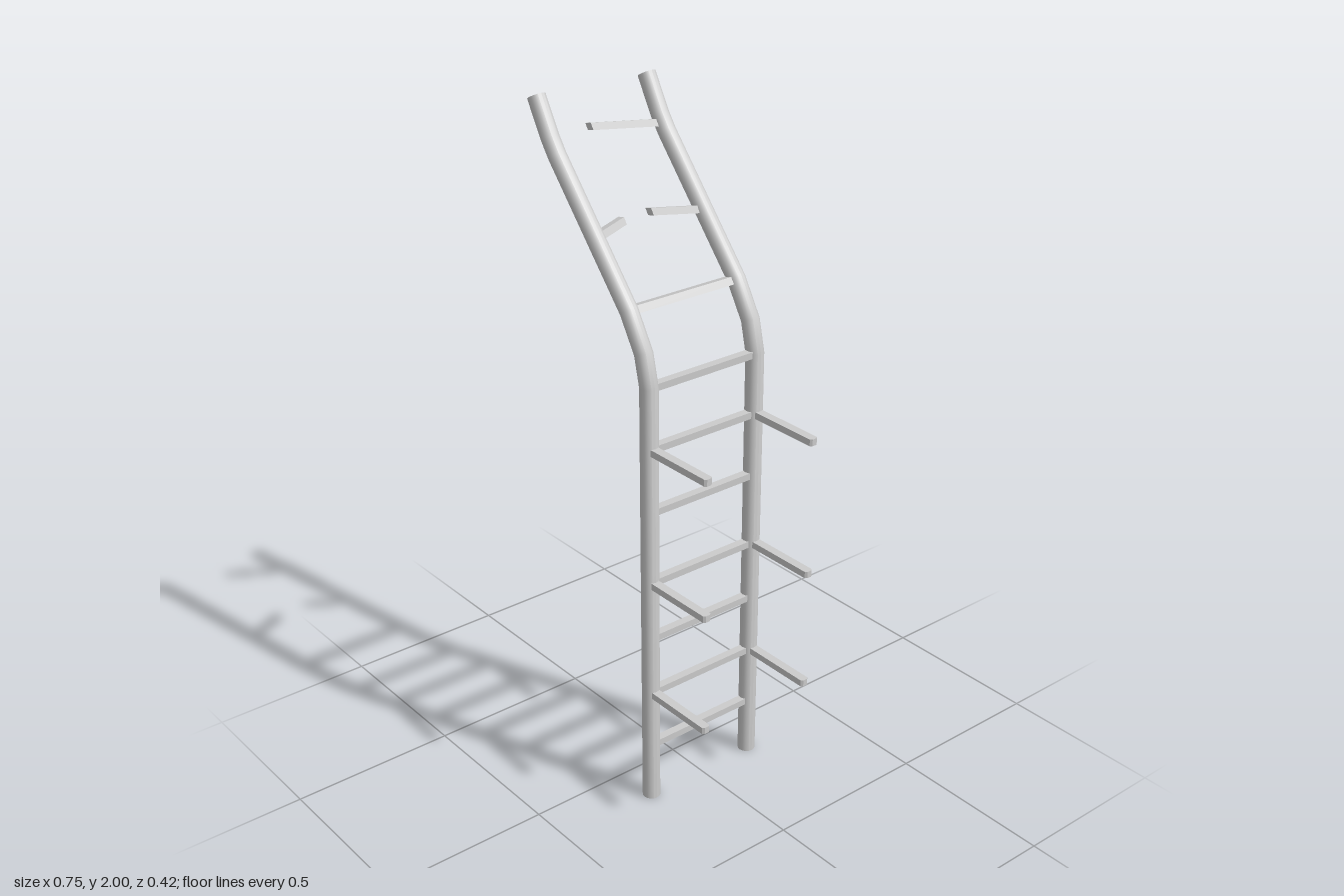
import * as THREE from 'three';
import { toCreasedNormals } from 'three/addons/utils/BufferGeometryUtils.js';

const material = new THREE.MeshStandardMaterial({ color: 0xcccccc });
const RAIL_Z = 0.185, RAIL_R = 0.026, INNER_Z = 0.165;

// Centre line of a rail, from the foot to the bent top
const RAIL_PATH = [
  [0.128, 0], [0.128, 1.31], [0.107, 1.4], [0.047, 1.5],
  [-0.253, 1.845], [-0.283, 1.887], [-0.34, 1.987],
].map(([x, y]) => new THREE.Vector2(x, y));

// Cross-sections (x, y) of the rungs: level, and tilted where the rails lean
const LEVEL = [[-0.0125, -0.01], [0.0125, -0.01], [0.0125, 0.01], [-0.0125, 0.01]];
const TILTED = [[-0.0065, -0.012], [0.0185, -0.006], [0.0065, 0.012], [-0.0185, 0.006]];

const toShape = (points) => new THREE.Shape(points.map(([x, y]) => new THREE.Vector2(x, y)));

// A capped cylinder whose rings are laid across the path
function railGeometry() {
  const last = RAIL_PATH.length - 1;
  const geometry = new THREE.CylinderGeometry(RAIL_R, RAIL_R, 1, 16, last);
  const position = geometry.attributes.position;
  for (let i = 0; i < position.count; i++) {
    const k = Math.round((position.getY(i) + 0.5) * last);
    const p = RAIL_PATH[k];
    const tangent = new THREE.Vector2();
    if (k > 0) tangent.add(p.clone().sub(RAIL_PATH[k - 1]).normalize());
    if (k < last) tangent.add(RAIL_PATH[k + 1].clone().sub(p).normalize());
    tangent.normalize();
    const across = position.getX(i);
    position.setXY(i, p.x + tangent.y * across, p.y - tangent.x * across);
  }
  return toCreasedNormals(geometry, 0.7);
}

// A bar running from z0 up to z1 while its centre slides from x0 to x1
function barGeometry(section, y, x0, z0, x1, z1) {
  const depth = z1 - z0;
  const geometry = new THREE.ExtrudeGeometry(toShape(section), { depth, bevelEnabled: false });
  const position = geometry.attributes.position;
  for (let i = 0; i < position.count; i++) {
    const z = position.getZ(i);
    position.setXYZ(i, position.getX(i) + x0 + (x1 - x0) * z / depth, position.getY(i) + y, z0 + z);
  }
  geometry.computeVertexNormals();
  return geometry;
}

// A flat peg along +x with a trimmed tip
function pegGeometry() {
  const plan = [[0, -0.013], [0.242, -0.013], [0.247, -0.007], [0.247, 0.007], [0.242, 0.013], [0, 0.013]];
  return new THREE.ExtrudeGeometry(toShape(plan), { depth: 0.02, bevelEnabled: false })
    .translate(0, 0, -0.01).rotateX(-Math.PI / 2);
}

export function createModel() {
  const model = new THREE.Group();
  const add = (name, geometry, x = 0, y = 0, z = 0) => {
    const mesh = new THREE.Mesh(geometry, material);
    mesh.name = name;
    mesh.position.set(x, y, z);
    model.add(mesh);
  };

  // Two rails, each with three side pegs
  const rail = railGeometry(), peg = pegGeometry();
  for (const side of [-1, 1]) {
    add('rail', rail, 0, 0, side * RAIL_Z);
    for (const y of [0.36, 0.72, 1.13]) add('sidePeg', peg, 0.128, y, side * RAIL_Z);
  }

  // Whole rungs
  for (const y of [0.18, 0.36, 0.54, 0.72, 0.94, 1.13, 1.31]) {
    add('rung', barGeometry(LEVEL, y, 0.13, -INNER_Z, 0.13, INNER_Z));
  }
  add('upperRung', barGeometry(TILTED, 1.5, 0.0455, -INNER_Z, 0.0455, INNER_Z));

  // Broken rungs, bent away from the rails
  add('brokenRung', barGeometry(TILTED, 1.866, -0.272, -INNER_Z, -0.359, 0));
  add('brokenRung', barGeometry(TILTED, 1.664, -0.096, -INNER_Z, -0.163, -0.052));
  add('brokenRung', barGeometry(TILTED, 1.664, -0.151, 0.05, -0.098, INNER_Z));

  return model;
}
